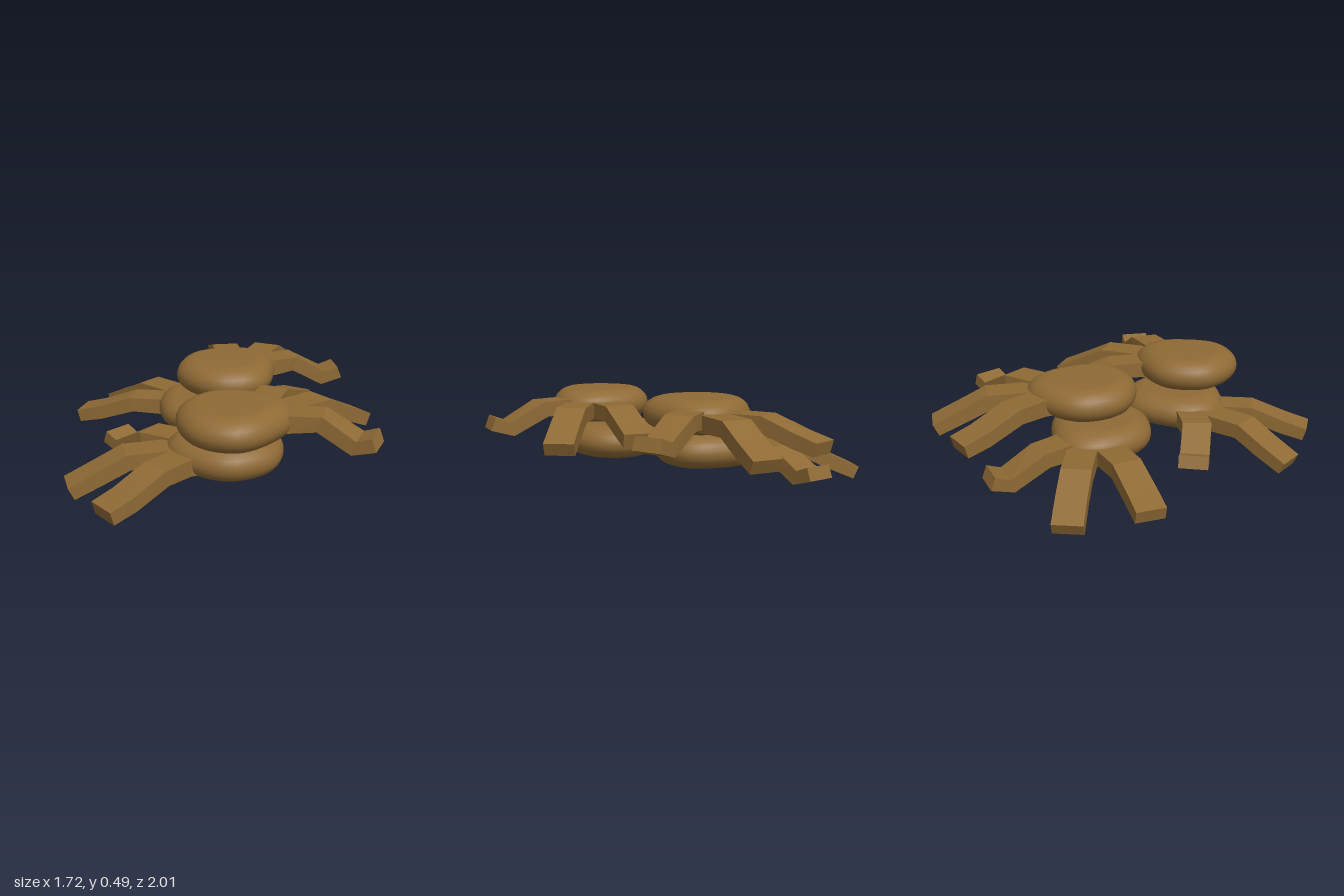
import * as THREE from 'three';

const material = new THREE.MeshStandardMaterial({ color: 0x8f6a35 });

// Pad outline (x, z), counter-clockwise seen from above
const outline = [
  [-0.28, -0.05], [-0.28, 0.07], [-0.2, 0.21], [-0.08, 0.295], [0.05, 0.31], [0.16, 0.275],
  [0.235, 0.19], [0.285, 0.06], [0.31, -0.06], [0.28, -0.2], [0.16, -0.29], [-0.05, -0.285], [-0.2, -0.21],
];

// Toes: centre line of the upper face as [x, top y, z], from pad to tip
const toes = {
  longToe: [[0.03, 0.22, -0.12], [0.075, 0.22, -0.29], [0.065, 0.22, -0.48], [0.072, 0.145, -0.69], [0.085, 0.11, -0.82]],
  middleToe: [[0.1, 0.22, -0.08], [0.23, 0.22, -0.26], [0.34, 0.22, -0.45], [0.42, 0.145, -0.58], [0.5, 0.07, -0.72]],
  curledToe: [[0.12, 0.23, -0.07], [0.3, 0.235, -0.13], [0.45, 0.235, -0.175], [0.64, 0.13, -0.18], [0.72, 0.16, -0.18]],
};

function buildGeometry(positions, index) {
  const g = new THREE.BufferGeometry();
  g.setAttribute('position', new THREE.Float32BufferAttribute(positions, 3));
  g.setIndex(index);
  return g;
}

// Flat-topped cushion: scaled copies of the outline stacked along a rounded profile
function padGeometry() {
  const n = 40, rings = 12;
  const curve = new THREE.CatmullRomCurve3(outline.map(([x, z]) => new THREE.Vector3(x, 0, z)), true);
  const pts = curve.getSpacedPoints(n).slice(0, n);
  const pos = [], idx = [];
  for (let j = 0; j <= rings; j++) {
    const t = (j / rings - 0.5) * Math.PI;
    const s = 0.6 + 0.4 * Math.cos(t);
    for (const p of pts) pos.push(p.x * s, 0.187 + 0.095 * Math.sin(t), p.z * s);
  }
  for (let j = 0; j < rings; j++) {
    for (let i = 0; i < n; i++) {
      const k = (i + 1) % n;
      const a = j * n + i, b = j * n + k, c = b + n, d = a + n;
      idx.push(a, b, c, a, c, d);
    }
  }
  // Flat caps
  const bottom = pos.length / 3, top = bottom + 1, last = rings * n;
  pos.push(0, 0.092, 0, 0, 0.282, 0);
  for (let i = 0; i < n; i++) {
    const k = (i + 1) % n;
    idx.push(bottom, k, i, top, last + i, last + k);
  }
  const g = buildGeometry(pos, idx);
  g.computeVertexNormals();
  return g;
}

// Rectangular bar swept along a bent path, with crisp edges
function toeGeometry(path, width = 0.165) {
  const up = new THREE.Vector3(0, 1, 0);
  const pts = path.map((p) => new THREE.Vector3(...p));
  const last = pts.length - 1;
  const pos = [], idx = [];
  pts.forEach((p, i) => {
    const dir = pts[Math.min(i + 1, last)].clone().sub(pts[Math.max(i - 1, 0)]).normalize();
    const side = dir.clone().cross(up).normalize();
    const down = dir.clone().cross(side).multiplyScalar(0.1 - 0.025 * i / last);
    side.multiplyScalar(width / 2);
    const corners = [
      p.clone().add(side), p.clone().sub(side),
      p.clone().sub(side).add(down), p.clone().add(side).add(down),
    ];
    corners.forEach((c) => pos.push(c.x, c.y, c.z));
  });
  for (let i = 0; i < last; i++) {
    for (let k = 0; k < 4; k++) {
      const a = i * 4 + k, b = i * 4 + (k + 1) % 4;
      idx.push(a, a + 4, b + 4, a, b + 4, b);
    }
  }
  const e = last * 4;
  idx.push(e, e + 3, e + 2, e, e + 2, e + 1);
  const g = buildGeometry(pos, idx).toNonIndexed();
  g.computeVertexNormals();
  return g;
}

export function createModel() {
  const model = new THREE.Group();
  model.name = 'toedPads';
  const parts = { pad: padGeometry() };
  for (const name in toes) parts[name] = toeGeometry(toes[name]);

  // Four identical feet: name, position, turn in degrees
  const feet = [
    ['backUpperFoot', [0.1, 0.21, -0.17], 0],
    ['backLowerFoot', [-0.008, 0, -0.145], 72],
    ['frontUpperFoot', [0.025, 0.21, 0.593], -31],
    ['frontLowerFoot', [0.035, 0, 0.497], 128.5],
  ];
  for (const [name, position, turn] of feet) {
    const foot = new THREE.Group();
    foot.name = name;
    for (const part in parts) {
      const mesh = new THREE.Mesh(parts[part], material);
      mesh.name = part;
      foot.add(mesh);
    }
    foot.position.set(...position);
    foot.rotation.y = THREE.MathUtils.degToRad(turn);
    model.add(foot);
  }
  return model;
}
